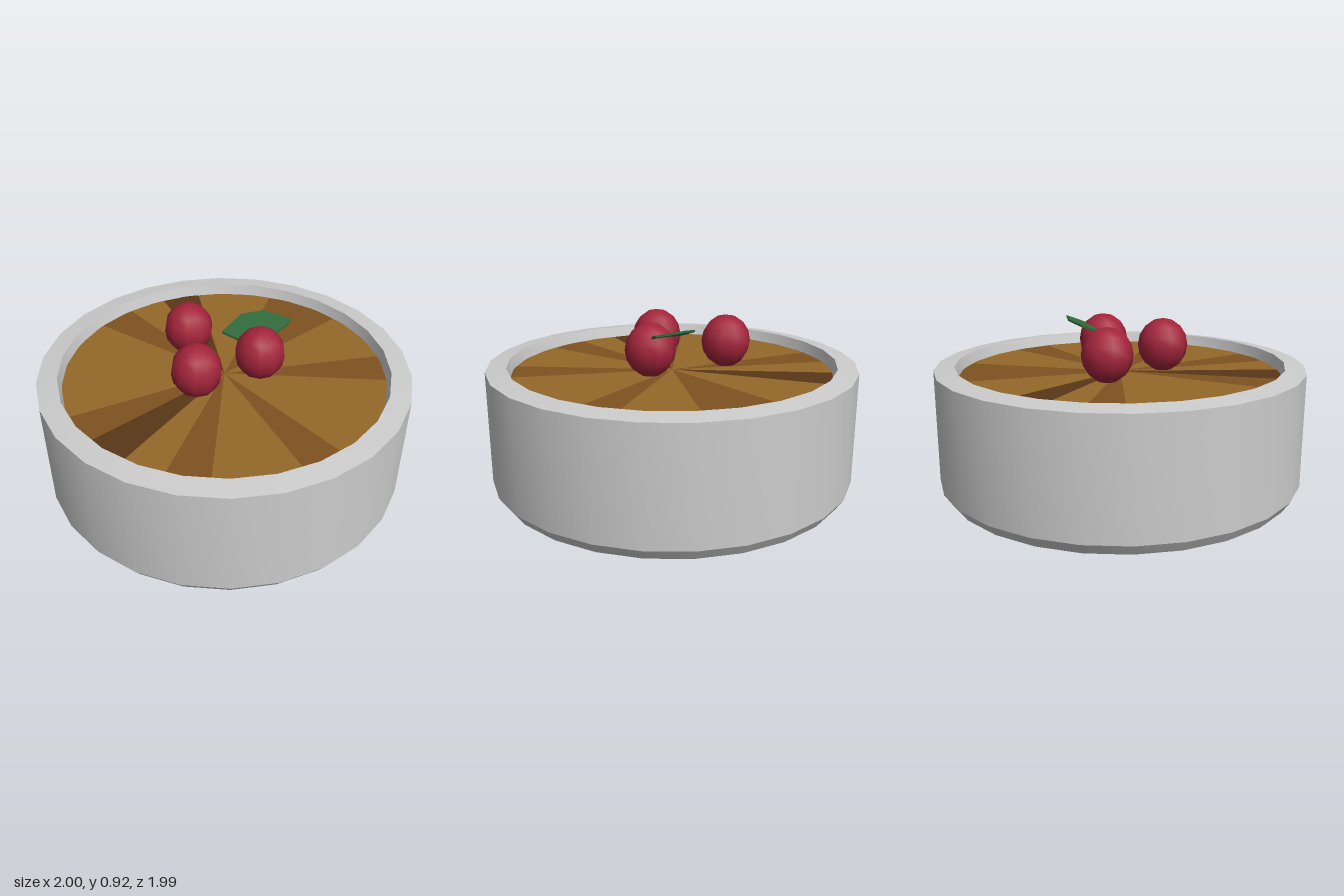
import * as THREE from 'three';
import { toCreasedNormals } from 'three/addons/utils/BufferGeometryUtils.js';

const mat = (color, roughness = 0.8) => new THREE.MeshStandardMaterial({ color, roughness });

function add(group, name, geometry, material) {
  const mesh = new THREE.Mesh(geometry, material);
  mesh.name = name;
  group.add(mesh);
  return mesh;
}

export function createModel() {
  const model = new THREE.Group();
  model.name = 'dessert';

  // Round dish: closed base, bevelled foot, gently sloped rim, inner wall
  const profile = [
    [0, 0], [0.96, 0], [1, 0.06], [1, 0.67], [0.89, 0.685], [0.868, 0.6],
  ].map(([r, y]) => new THREE.Vector2(r, y));
  const dish = new THREE.LatheGeometry(profile, 26, Math.PI / 2);
  add(model, 'dish', toCreasedNormals(dish, Math.PI / 7), mat(0xcccccc));

  // Caramelised filling: flat wedges in three tones, clockwise from the back
  const tones = { g: mat(0x94692a), b: mat(0x7f5220), d: mat(0x5a3718) };
  const filling = new THREE.Group();
  filling.name = 'filling';
  const step = Math.PI / 12;
  [...'bbggbgggbggbgdbggggbgdgg'].forEach((tone, i) => {
    const wedge = new THREE.CircleGeometry(0.872, 1, Math.PI / 2 - (i + 1) * step, step);
    wedge.rotateX(-Math.PI / 2);
    add(filling, 'fillingWedge', wedge, tones[tone]).position.y = 0.625;
  });
  model.add(filling);

  // Three cherries, slightly taller than wide
  const cherryGeometry = new THREE.SphereGeometry(0.135, 10, 8);
  const red = mat(0xa3243b, 0.5);
  for (const [x, z] of [[-0.262, -0.15], [-0.075, 0.22], [0.185, -0.04]]) {
    const cherry = add(model, 'cherry', cherryGeometry, red);
    cherry.position.set(x, 0.775, z);
    cherry.scale.y = 1.07;
  }

  // Thin leaf tucked into one cherry, tilted up towards the back
  const outline = [
    [-0.04, 0.075], [0.09, 0.035], [0.22, 0.09], [0.29, 0.19],
    [0.3, 0.225], [0.135, 0.255], [0.025, 0.21],
  ].map(([x, y]) => new THREE.Vector2(x, y));
  const leaf = new THREE.ExtrudeGeometry(new THREE.Shape(outline), { depth: 0.012, bevelEnabled: false });
  leaf.rotateX(-Math.PI / 2);
  const p = leaf.attributes.position;
  for (let i = 0; i < p.count; i++) {
    p.setY(i, p.getY(i) + 0.805 + 0.03 * p.getX(i) - 0.33 * p.getZ(i));
  }
  leaf.computeVertexNormals();
  add(model, 'leaf', leaf, mat(0x2f6b3c));

  return model;
}
